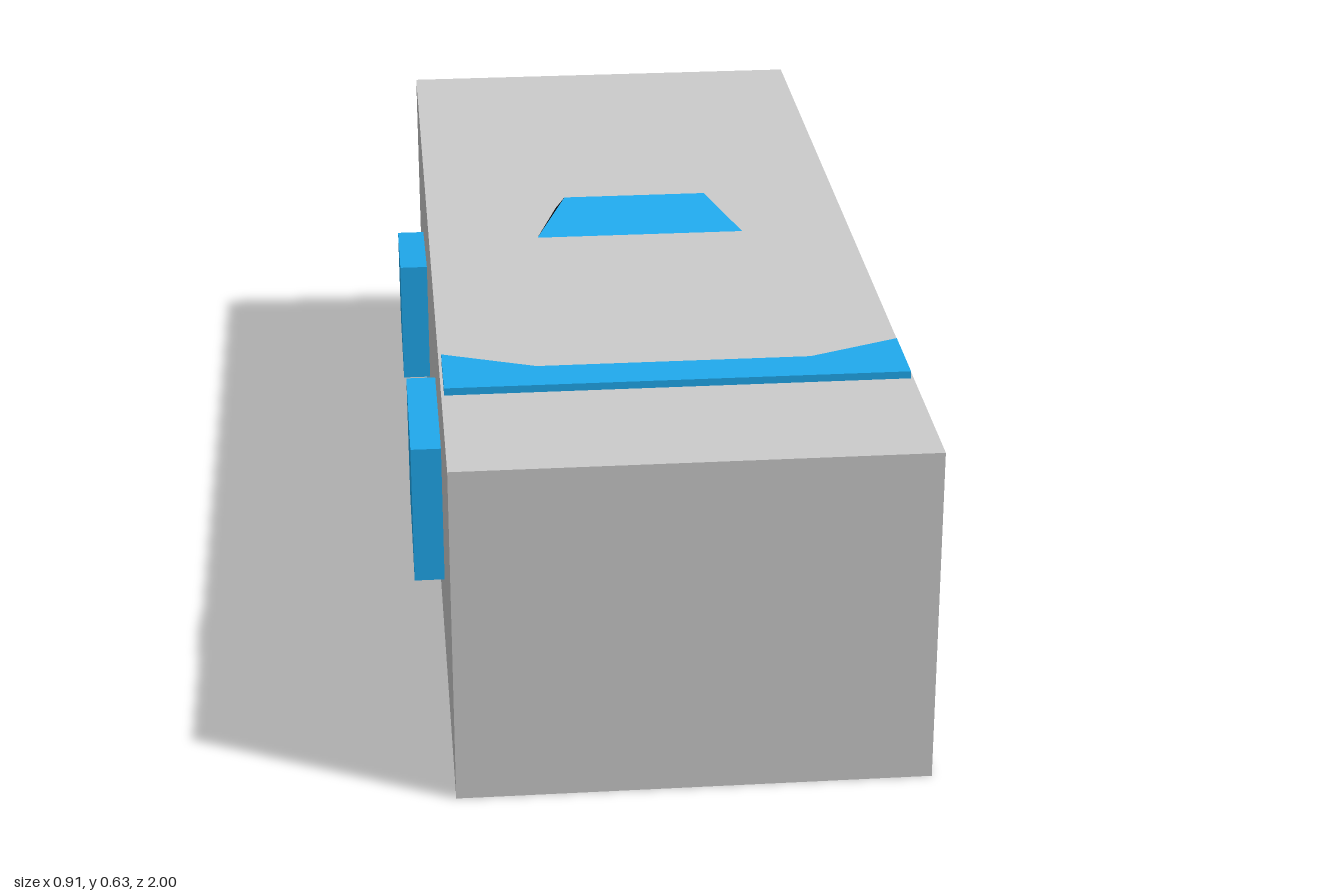
import * as THREE from 'three';

const grey = new THREE.MeshStandardMaterial({ color: 0xcccccc, flatShading: true });
const blue = new THREE.MeshStandardMaterial({ color: 0x20aaee, flatShading: true });
const black = new THREE.MeshStandardMaterial({ color: 0x141820, flatShading: true });

// Flat outline given a thickness along +z
function slab(points, depth) {
  const shape = new THREE.Shape(points.map(([x, y]) => new THREE.Vector2(x, y)));
  return new THREE.ExtrudeGeometry(shape, { depth, bevelEnabled: false });
}

// Flat-sided faces, each a convex polygon listed counter-clockwise
function faces(polygons) {
  const positions = [];
  for (const p of polygons) {
    for (let i = 1; i < p.length - 1; i++) positions.push(...p[0], ...p[i], ...p[i + 1]);
  }
  const geometry = new THREE.BufferGeometry();
  geometry.setAttribute('position', new THREE.Float32BufferAttribute(positions, 3));
  geometry.computeVertexNormals();
  return geometry;
}

export function createModel() {
  const model = new THREE.Group();
  const add = (name, geometry, material, parent = model) => {
    const mesh = new THREE.Mesh(geometry, material);
    mesh.name = name;
    parent.add(mesh);
    return mesh;
  };

  // Main block
  add('body', new THREE.BoxGeometry(0.8, 0.6, 2), grey).position.y = 0.3;

  // Side panels: outline as (z, y), tops sloping down to the rear
  const panels = {
    FrontPanel: [[0.21, 0.18], [0.555, 0.18], [0.555, 0.435], [0.21, 0.42]],
    RearPanel: [[-0.66, 0.18], [-0.345, 0.18], [-0.345, 0.42], [-0.66, 0.375]],
  };
  for (const [name, outline] of Object.entries(panels)) {
    // Turning by -90 degrees about y sends x to z and depth to -x
    add('right' + name, slab(outline, 0.053), blue)
      .position.x = -0.4;
    model.children.at(-1).rotation.y = -Math.PI / 2;
    add('left' + name, slab(outline, 0.053), blue)
      .position.x = 0.453;
    model.children.at(-1).rotation.y = -Math.PI / 2;
  }

  // Band across the top: outline as (x, -z), laid flat
  const band = add('topBand', slab([
    [-0.395, -0.7], [0.395, -0.7], [0.395, -0.555],
    [0.235, -0.62], [-0.235, -0.62], [-0.395, -0.555],
  ], 0.013), blue);
  band.rotation.x = -Math.PI / 2;
  band.position.y = 0.6;

  // Wedge on the top: blue ramp in front, dark sides and back
  const wedge = new THREE.Group();
  wedge.name = 'topWedge';
  model.add(wedge);
  const y = 0.6;
  const frontR = [-0.195, y, -0.02], frontL = [0.195, y, -0.02];
  const ridgeR = [-0.135, 0.632, -0.148], ridgeL = [0.135, 0.632, -0.148];
  const backR = [-0.15, y, -0.178], backL = [0.15, y, -0.178];
  add('wedgeRamp', faces([[frontR, frontL, ridgeL, ridgeR]]), blue, wedge);
  add('wedgeShell', faces([
    [frontL, backL, ridgeL],
    [frontR, ridgeR, backR],
    [backL, backR, ridgeR, ridgeL],
    [frontR, backR, backL, frontL],
  ]), black, wedge);

  return model;
}
